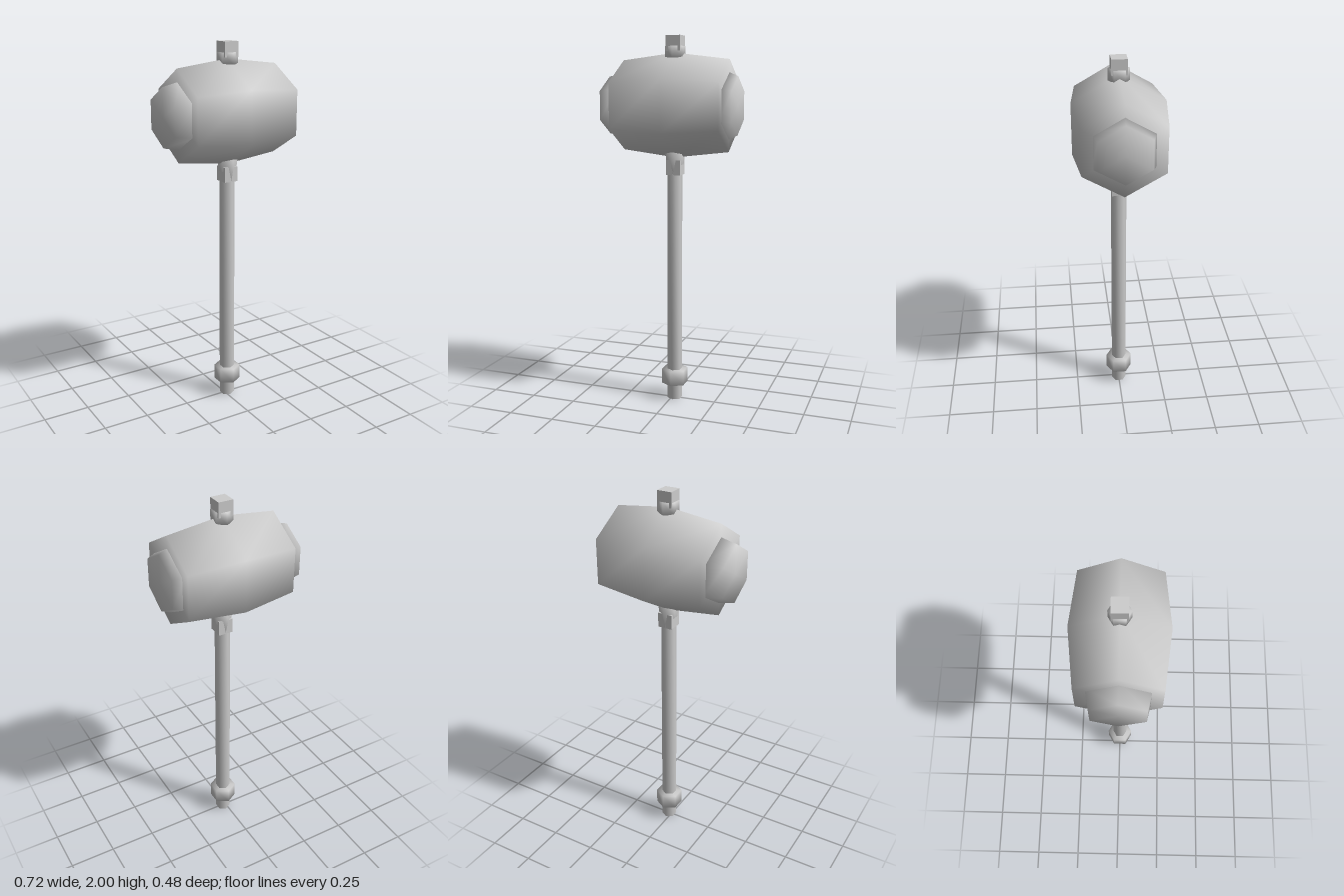
import * as THREE from 'three';
import { mergeVertices } from 'three/addons/utils/BufferGeometryUtils.js';

const AXIS_X = 0.018; // handle axis
const HEAD_Y = 1.637; // head axis

const material = new THREE.MeshStandardMaterial({ color: 0xcccccc });

// Weld corners so the shading rolls smoothly over the few sides.
function smooth(geometry) {
  geometry.deleteAttribute('normal');
  geometry.deleteAttribute('uv');
  const welded = mergeVertices(geometry, 1e-4);
  welded.computeVertexNormals();
  return welded;
}

// Closed six-sided solid from [radius, y] pairs, corners on +z and -z.
function hexSolid(profile) {
  const first = profile[0][1];
  const last = profile[profile.length - 1][1];
  const points = [[0, first], ...profile, [0, last]].map(([r, y]) => new THREE.Vector2(r, y));
  return smooth(new THREE.LatheGeometry(points, 6));
}

export function createModel() {
  const group = new THREE.Group();

  function add(name, geometry, x = AXIS_X, y = 0) {
    const mesh = new THREE.Mesh(geometry, material);
    mesh.name = name;
    mesh.position.set(x, y, 0);
    group.add(mesh);
    return mesh;
  }

  // Parts stacked along the handle
  add('handle', hexSolid([[0.041, 0], [0.041, 1.93]]), 0.016);
  add('pommel', hexSolid([[0.073, 0.09], [0.073, 0.172]]), 0.016);
  add('lowerCollar', hexSolid([[0.04, 1.275], [0.055, 1.395]]));
  add('upperCollar', hexSolid([[0.055, 1.885], [0.055, 1.945]]));

  // Square blocks below and above the head
  add('lowerBlock', new THREE.BoxGeometry(0.08, 0.08, 0.08), AXIS_X, 1.31);
  add('topBlock', new THREE.BoxGeometry(0.08, 0.08, 0.08), AXIS_X, 1.96);

  // Barrel-shaped head lying along x, a corner at its top
  function addAlongX(name, profile) {
    const geometry = hexSolid(profile);
    geometry.rotateX(Math.PI / 2); // corners from z to y
    geometry.rotateY(Math.PI / 2); // axis to x
    add(name, geometry, 0, HEAD_Y);
  }
  addAlongX('head', [[0.239, -0.276], [0.275, 0.018], [0.239, 0.314]]);
  addAlongX('rightStrikingFace', [[0.153, -0.36], [0.176, -0.26]]);
  addAlongX('leftStrikingFace', [[0.18, 0.298], [0.152, 0.36]]);

  return group;
}
